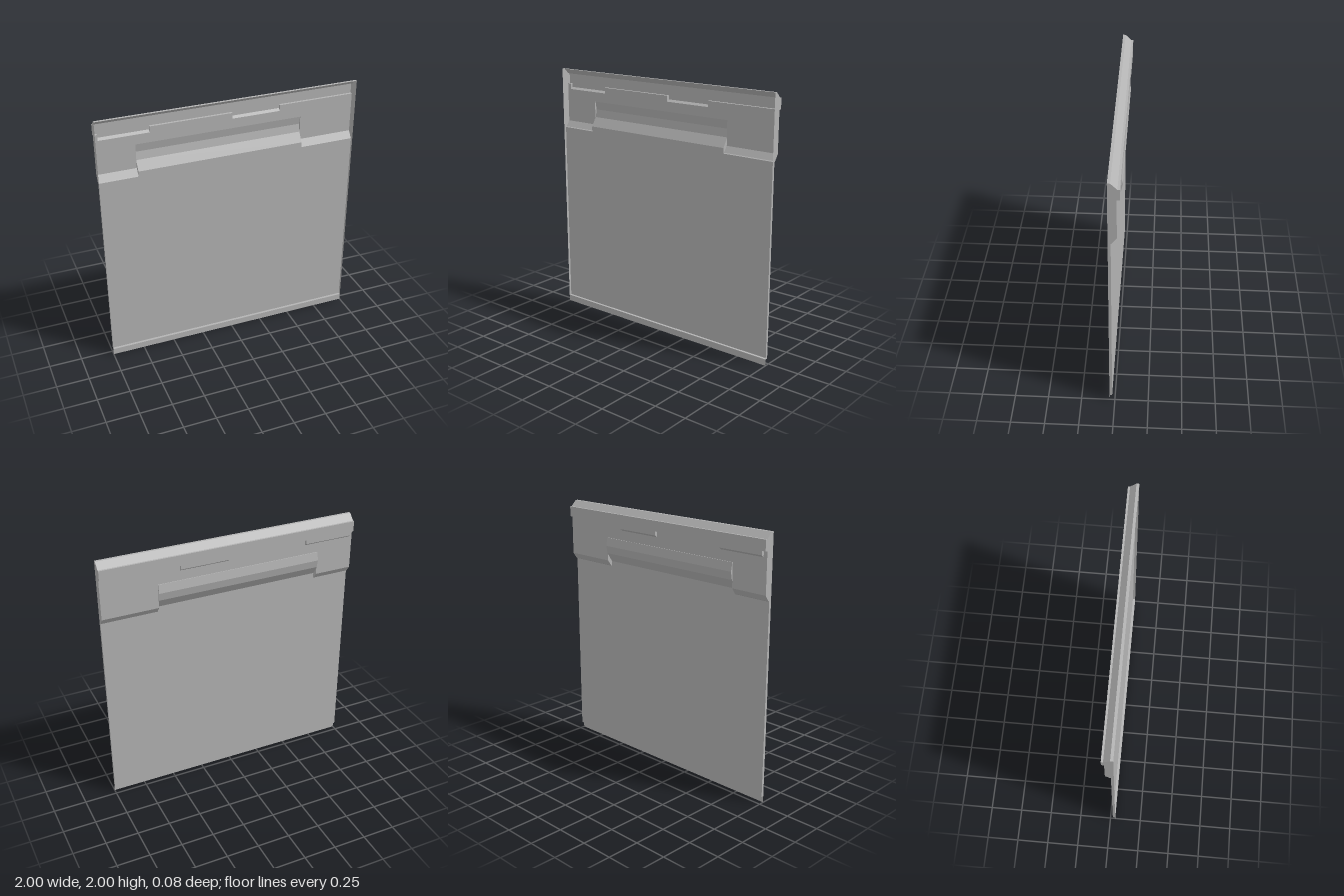
import * as THREE from 'three';
import { mergeGeometries } from 'three/addons/utils/BufferGeometryUtils.js';

// Thin open shell: every profile is a list of [y, z] points, running downwards.

// Folded sheet: a profile swept from x0 to x1 with sharp folds.
function sheet(profile, x0, x1) {
  const pos = [];
  for (let i = 0; i < profile.length - 1; i++) {
    const [py, pz] = profile[i], [qy, qz] = profile[i + 1];
    pos.push(x0, py, pz, x1, py, pz, x1, qy, qz, x0, py, pz, x1, qy, qz, x0, qy, qz);
  }
  const g = new THREE.BufferGeometry();
  g.setAttribute('position', new THREE.Float32BufferAttribute(pos, 3));
  g.computeVertexNormals();
  return g;
}

// Flat wall across x, outlined by [y, z] points.
function wall(outline, x) {
  const shape = new THREE.Shape(outline.map(([y, z]) => new THREE.Vector2(z, y)));
  const g = new THREE.ShapeGeometry(shape).toNonIndexed();
  g.deleteAttribute('uv');
  return g.rotateY(-Math.PI / 2).translate(x, 0, 0);
}

export function createModel() {
  const group = new THREE.Group();
  const grey = new THREE.MeshStandardMaterial({ color: 0xb3b3b3, side: THREE.DoubleSide });
  grey.name = 'light grey';
  const add = (name, geometries) => {
    const mesh = new THREE.Mesh(mergeGeometries(geometries), grey);
    mesh.name = name;
    group.add(mesh);
  };

  const F = 0.04, P = 0.02, B = -0.02, R = -0.04; // front rim, panel, header back, rib
  const split = 1.79;
  const top = [[2, F], [2, P], [1.955, -0.025], [1.955, R]];
  const plainRib = [...top, [1.875, R], [1.875, B], [split, B]];
  const tabRib = [...top, [1.845, R], [1.83, B], [split, B]];

  // Top rib with two lower tabs
  const tabs = [[-0.97, -0.595], [0.03, 0.405]];
  const rib = [];
  let x = -1;
  for (const [a, b] of tabs) {
    rib.push(sheet(plainRib, x, a), sheet(tabRib, a, b));
    for (const e of [a, b]) rib.push(wall([[1.875, R], [1.845, R], [1.83, B], [1.875, B]], e));
    x = b;
  }
  rib.push(sheet(plainRib, x, 1));
  add('topRib', rib);

  // Header back on both sides of the grip
  const gripL = -0.705, gripR = 0.575;
  const header = [[split, B], [1.57, B], [1.525, 0.012], [1.52, P]];
  add('headerBack', [sheet(header, -1, gripL), sheet(header, gripR, 1)]);

  // Grip bulging to the back, then sloping in to the panel
  const grip = [[split, B], [1.755, B], [1.755, -0.025], [1.69, -0.037], [1.63, -0.025], [1.56, P], [1.52, P]];
  const gripParts = [sheet(grip, gripL, gripR)];
  for (const e of [gripL, gripR]) {
    gripParts.push(wall([[1.755, B], [1.755, -0.025], [1.69, -0.037], [1.63, -0.025], [1.623, B]], e));
    gripParts.push(wall([[1.623, B], [1.57, B], [1.525, 0.012], [1.52, P], [1.56, P]], e));
  }
  add('grip', gripParts);

  // Panel with its bottom step and flange
  add('panel', [sheet([[1.52, P], [0.05, P], [0.05, F]], -1, 1)]);
  add('bottomFlange', [sheet([[0.05, F], [0, F]], -1, 1)]);

  // End walls
  const outline = [...plainRib, ...header.slice(1), [0.05, P], [0.05, F]];
  add('endWalls', [wall(outline, -1), wall(outline, 1)]);

  return group;
}
